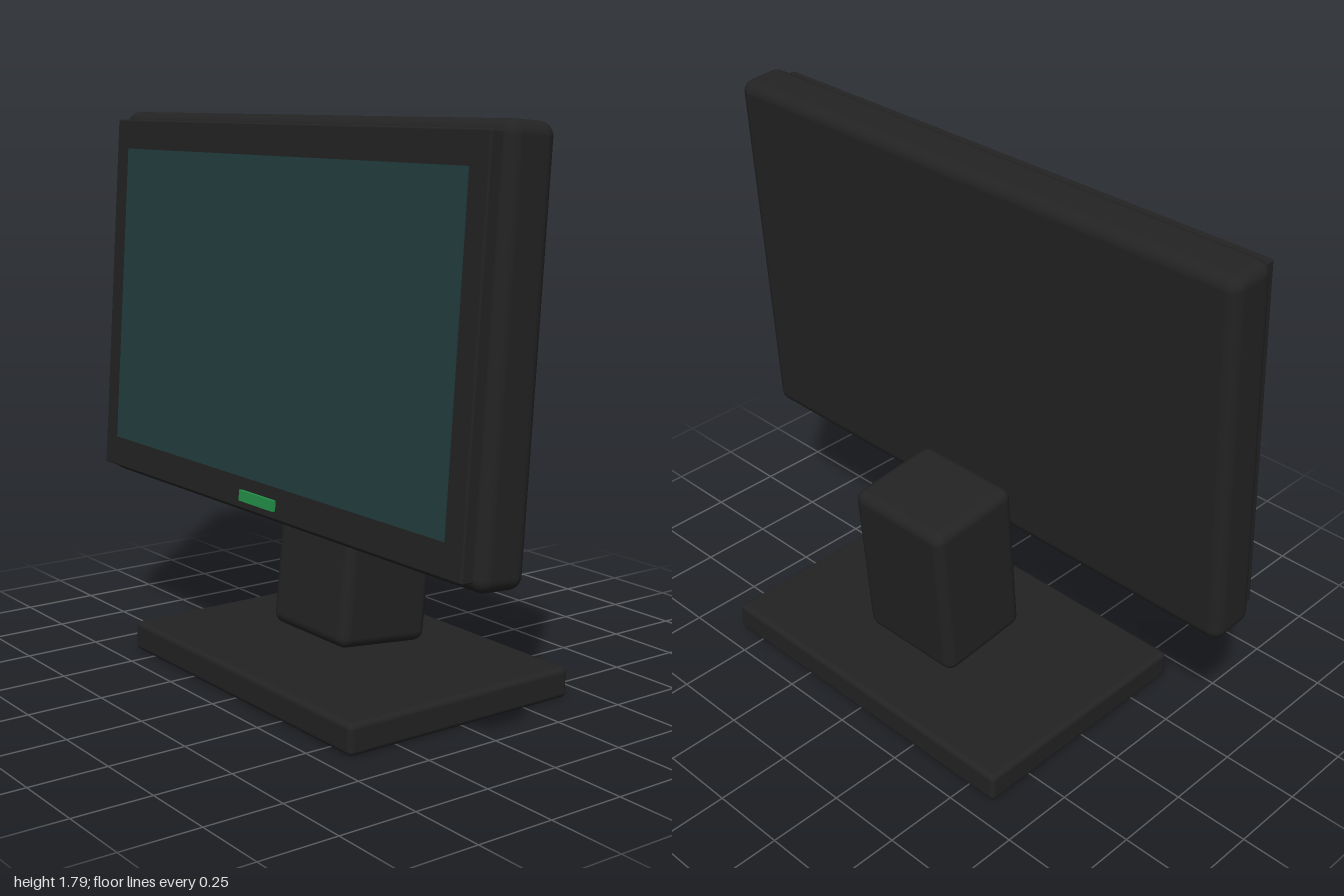
import * as THREE from 'three';
import { RoundedBoxGeometry } from 'three/addons/geometries/RoundedBoxGeometry.js';

function material(name, color) {
  const m = new THREE.MeshStandardMaterial({ color });
  m.name = name;
  return m;
}

export function createModel() {
  const charcoal = material('charcoal plastic', 0x232323);
  const teal = material('dark teal glass', 0x233d3e);
  const green = material('green light', 0x239249);

  const model = new THREE.Group();
  model.name = 'monitor';

  // Box with optional rounded edges, placed by its centre
  function box(parent, name, mat, [w, h, d], [x, y, z], radius = 0) {
    const geometry = radius
      ? new RoundedBoxGeometry(w, h, d, 4, radius)
      : new THREE.BoxGeometry(w, h, d);
    const mesh = new THREE.Mesh(geometry, mat);
    mesh.name = name;
    mesh.position.set(x, y, z);
    parent.add(mesh);
    return mesh;
  }

  // Stand: flat base and a neck leaning back
  box(model, 'base', charcoal, [1.215, 0.097, 0.845], [0, 0.0485, 0], 0.017);
  const neck = box(model, 'neck', charcoal, [0.39, 0.578, 0.34], [0, 0.422, -0.05], 0.036);
  neck.rotation.x = -0.1;

  // Display head, tilted back as one unit
  const head = new THREE.Group();
  head.name = 'displayHead';
  head.position.set(0, 1.162, 0.161);
  head.rotation.x = -0.07;
  model.add(head);

  box(head, 'housing', charcoal, [2, 1.254, 0.169], [0, 0, 0], 0.042);
  box(head, 'bezel', charcoal, [1.934, 1.194, 0.06], [0, 0, 0.093], 0.006);
  box(head, 'screen', teal, [1.776, 0.995, 0.008], [0, 0.002, 0.122]);
  box(head, 'powerLight', green, [0.185, 0.034, 0.014], [0, -0.553, 0.128]);

  return model;
}
